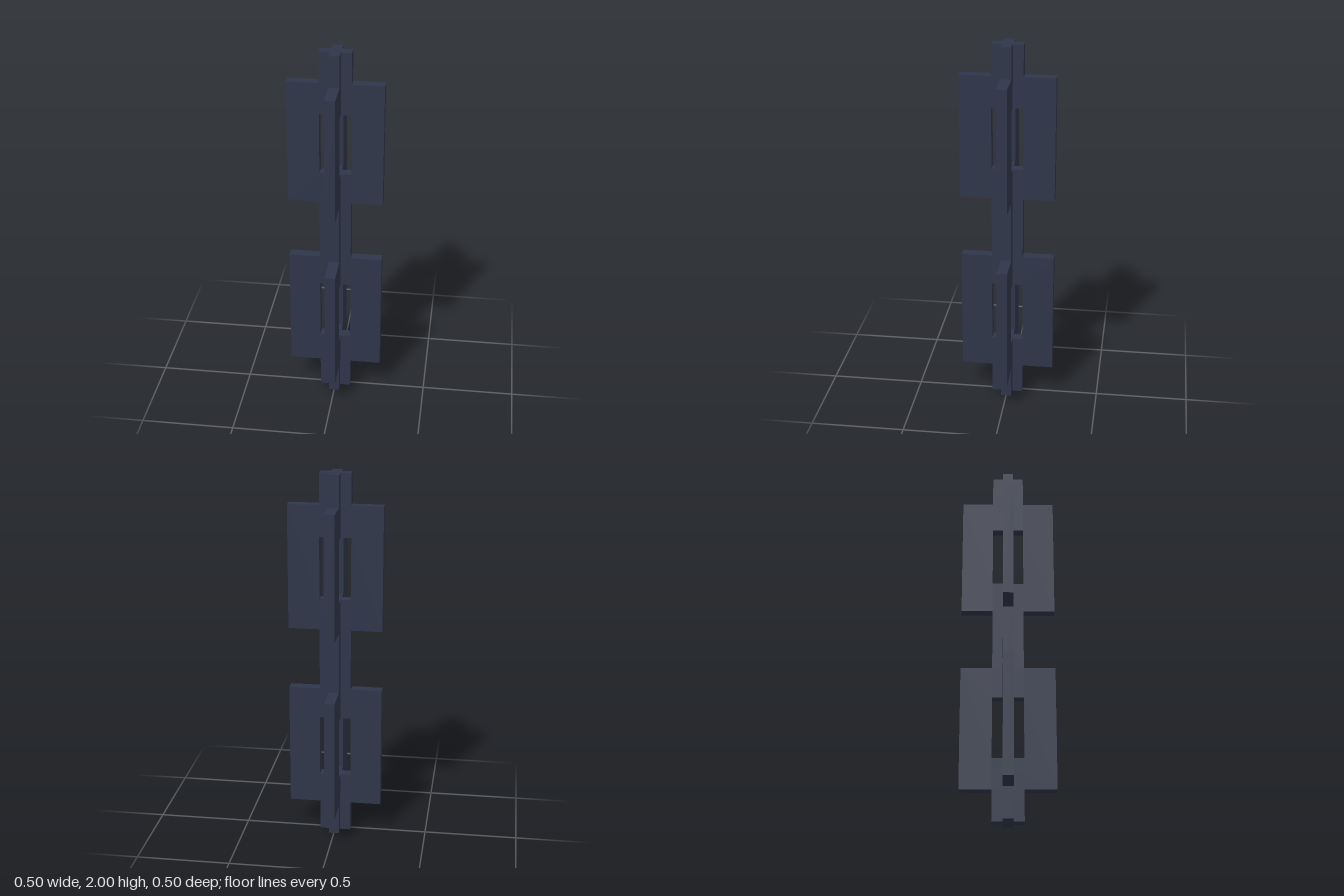
import * as THREE from 'three';

const U = 1 / 6; // width of one link bar
const THICK = 0.056;

// Stepped outline of a chain plate: narrow pins joining two wide links
function plateGeometry() {
  const n = U / 2, w = U * 1.5;
  const right = [
    [n, 0], [n, U], [w, U], [w, 5 * U], [n, 5 * U], [n, 7 * U],
    [w, 7 * U], [w, 11 * U], [n, 11 * U], [n, 12 * U],
  ];
  const left = right.map(([x, y]) => [-x, y]).reverse();
  const shape = new THREE.Shape([...right, ...left].map(([x, y]) => new THREE.Vector2(x, y)));

  // One window through each link
  for (const y of [2 * U, 8 * U]) {
    const top = y + 2 * U;
    shape.holes.push(new THREE.Path([
      new THREE.Vector2(-n, y), new THREE.Vector2(-n, top),
      new THREE.Vector2(n, top), new THREE.Vector2(n, y),
    ]));
  }
  const geometry = new THREE.ExtrudeGeometry(shape, { depth: THICK, bevelEnabled: false });
  return geometry.translate(0, 0, -THICK / 2);
}

export function createModel() {
  const model = new THREE.Group();
  model.name = 'chain';
  const iron = new THREE.MeshStandardMaterial({ color: 0x2f364a });
  iron.name = 'dark iron';

  // Two identical plates crossing at right angles
  const geometry = plateGeometry();
  ['frontChainPlate', 'sideChainPlate'].forEach((name, i) => {
    const plate = new THREE.Mesh(geometry, iron);
    plate.name = name;
    plate.rotation.y = i * Math.PI / 2;
    model.add(plate);
  });
  return model;
}
